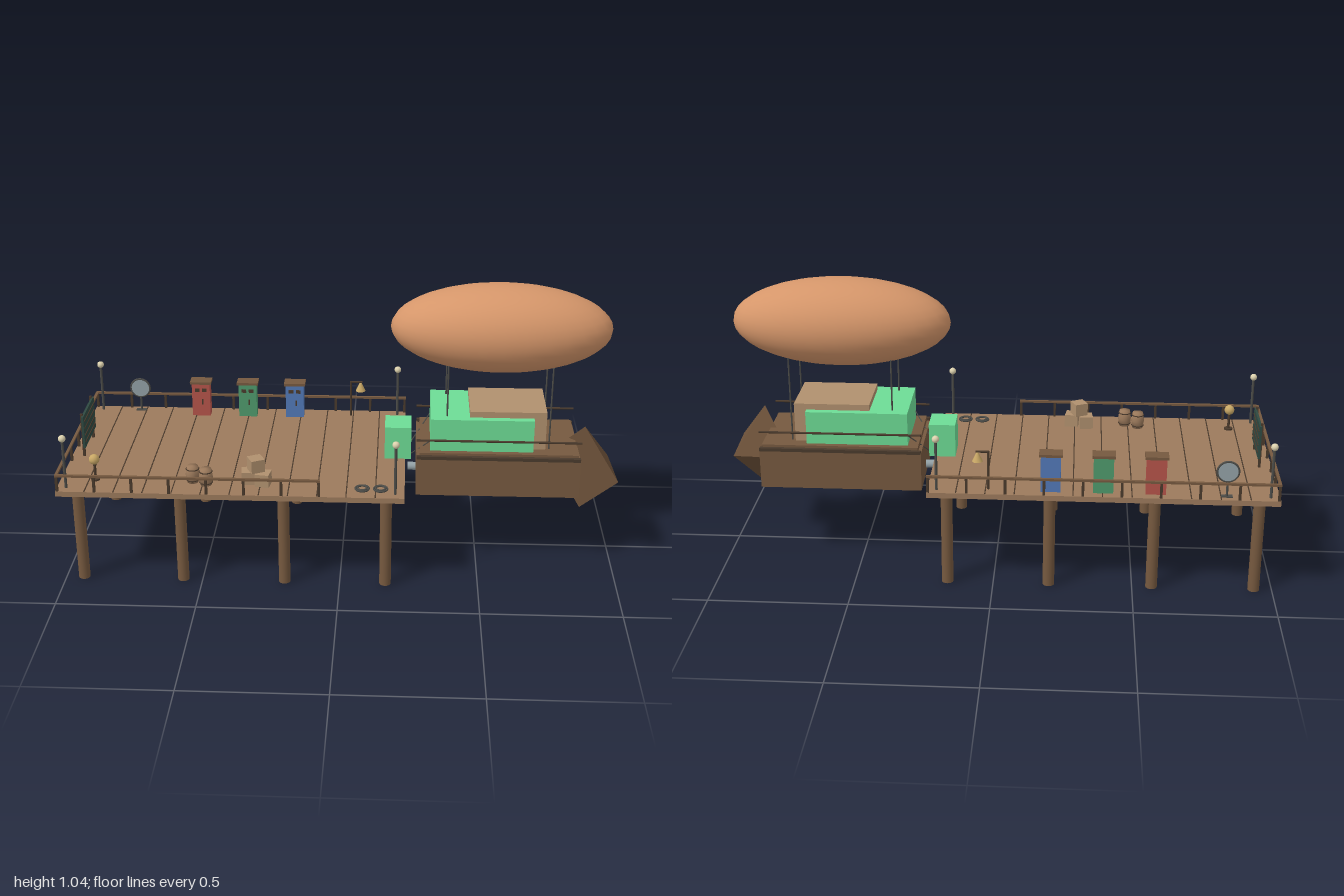
import * as THREE from 'three';

const mat = (color, flat = false) => new THREE.MeshStandardMaterial({ color, flatShading: flat, side: THREE.DoubleSide });
const M = {
  deck: mat(0x9c7a5c), wood: mat(0x76593f), dark: mat(0x4a3a2c), tan: mat(0xb0906e), green: mat(0x6ddc95),
  balloon: mat(0xd5966a), metal: mat(0x4c4c48), glass: mat(0x93a1a6), cream: mat(0xddd2ae), brass: mat(0xc9a866),
  board: mat(0x2f4a42), red: mat(0xb5544a), sage: mat(0x4f9a6c), blue: mat(0x5279b8), fin: mat(0x6b5038, true),
};

export function createModel() {
  const root = new THREE.Group();
  const add = (name, geo, m, x, y, z, parent = root) => {
    const mesh = new THREE.Mesh(geo, m);
    mesh.name = name;
    mesh.position.set(x, y, z);
    parent.add(mesh);
    return mesh;
  };
  const group = (name, x = 0, y = 0, z = 0) => {
    const g = new THREE.Group();
    g.name = name;
    g.position.set(x, y, z);
    root.add(g);
    return g;
  };
  const box = (name, w, h, d, m, x, y, z, p) => add(name, new THREE.BoxGeometry(w, h, d), m, x, y, z, p);
  const cyl = (name, r, h, m, x, y, z, p, r2 = r) => add(name, new THREE.CylinderGeometry(r2, r, h, 16), m, x, y, z, p);
  // round bar between two points
  const bar = (name, a, b, r, m, p) => {
    const A = new THREE.Vector3(...a), B = new THREE.Vector3(...b);
    const mesh = cyl(name, r, A.distanceTo(B), m, 0, 0, 0, p);
    mesh.position.copy(A).add(B).multiplyScalar(0.5);
    mesh.quaternion.setFromUnitVectors(new THREE.Vector3(0, 1, 0), B.sub(A).normalize());
    return mesh;
  };
  const ring = (name, r, t, m, x, y, z, p) => {
    const mesh = add(name, new THREE.TorusGeometry(r, t, 6, 24), m, x, y, z, p);
    mesh.rotation.x = Math.PI / 2;
    return mesh;
  };

  // Platform: slab, plank seams and support posts
  const dock = group('platform');
  box('deck', 1.23, 0.02, 0.74, M.deck, -0.385, 0.37, 0, dock);
  for (let i = 1; i < 12; i++) box('plankSeam', 0.004, 0.002, 0.735, M.dark, -1 + i * 0.1025, 0.3805, 0, dock);
  for (const x of [-0.935, -0.57, -0.2, 0.165])
    for (const z of [-0.307, 0.307]) cyl('supportPost', 0.021, 0.36, M.wood, x, 0.18, z, dock);

  // Railings: two long sides and the far end
  const rails = group('railings');
  const railing = (x0, z0, x1, z1, n) => {
    box('topRail', Math.abs(x1 - x0) + 0.01, 0.008, Math.abs(z1 - z0) + 0.01, M.wood, (x0 + x1) / 2, 0.44, (z0 + z1) / 2, rails);
    for (let i = 0; i <= n; i++) {
      const t = i / n;
      box('railPost', 0.009, 0.06, 0.009, M.dark, x0 + (x1 - x0) * t, 0.408, z0 + (z1 - z0) * t, rails);
    }
  };
  railing(-0.993, 0.365, -0.07, 0.365, 7);
  railing(-0.993, -0.365, 0.225, -0.365, 9);
  railing(-0.993, -0.365, -0.993, 0.365, 6);

  // Corner lamps
  for (const x of [-0.967, 0.197])
    for (const z of [-0.34, 0.337]) {
      const lamp = group('cornerLamp', x, 0.38, z);
      cyl('lampPole', 0.005, 0.18, M.metal, 0, 0.09, 0, lamp);
      add('lampGlobe', new THREE.SphereGeometry(0.013, 16, 12), M.cream, 0, 0.191, 0, lamp);
    }

  // Booths with roof, window slats and door handle
  [[-0.57, M.red], [-0.387, M.sage], [-0.203, M.blue]].forEach(([x, m]) => {
    const booth = group('booth', x, 0.38, -0.318);
    box('boothBody', 0.07, 0.135, 0.042, m, 0, 0.0675, 0, booth);
    box('boothRoof', 0.082, 0.01, 0.052, M.wood, 0, 0.138, 0, booth);
    for (const s of [-1, 1]) box('boothWindow', 0.018, 0.014, 0.003, M.dark, s * 0.014, 0.108, 0.0215, booth);
    box('boothHandle', 0.006, 0.022, 0.004, M.dark, 0.006, 0.06, 0.022, booth);
  });

  // Round mirror on a stand
  const mirror = group('mirror', -0.815, 0.38, -0.34);
  add('mirrorFrame', new THREE.TorusGeometry(0.037, 0.004, 8, 32), M.metal, 0, 0.095, 0, mirror);
  cyl('mirrorDisc', 0.036, 0.006, M.glass, 0, 0.095, 0, mirror).rotation.x = Math.PI / 2;
  cyl('mirrorStem', 0.004, 0.06, M.metal, 0, 0.03, 0, mirror);
  box('mirrorFoot', 0.04, 0.004, 0.018, M.metal, 0, 0.002, 0, mirror);

  // Notice board
  const board = group('noticeBoard', -0.95, 0.38, 0);
  box('boardPanel', 0.008, 0.125, 0.19, M.board, 0, 0.1, 0, board);
  for (const z of [-0.08, 0.08]) box('boardLeg', 0.009, 0.17, 0.009, M.dark, -0.005, 0.085, z, board);
  for (let i = 0; i < 4; i++) box('boardSlat', 0.003, 0.004, 0.17, M.dark, 0.005, 0.06 + i * 0.027, 0, board);

  // Bell on a short stand
  const bell = group('standingBell', -0.875, 0.38, 0.27);
  cyl('bellStand', 0.005, 0.07, M.dark, 0, 0.035, 0, bell);
  cyl('bellFoot', 0.016, 0.006, M.dark, 0, 0.003, 0, bell);
  add('bellBody', new THREE.SphereGeometry(0.019, 12, 8), M.brass, 0, 0.08, 0, bell);

  // Hanging bell on an arm
  const arm = group('hangingBell', 0.015, 0.38, -0.325);
  cyl('armPole', 0.004, 0.145, M.dark, 0, 0.0725, 0, arm);
  bar('armBeam', [0, 0.142, 0], [0.045, 0.142, 0], 0.004, M.dark, arm);
  cyl('hangingBellBody', 0.019, 0.032, M.brass, 0.038, 0.122, 0, arm, 0.004);

  // Barrels
  for (const [x, z] of [[-0.525, 0.27], [-0.475, 0.29]]) {
    const barrel = group('barrel', x, 0.38, z);
    const profile = [[0, 0], [0.02, 0], [0.025, 0.03], [0.02, 0.062], [0, 0.062]].map(p => new THREE.Vector2(...p));
    add('barrelBody', new THREE.LatheGeometry(profile, 20), M.deck, 0, 0, 0, barrel);
    for (const y of [0.01, 0.052]) ring('barrelHoop', 0.0225, 0.002, M.dark, 0, y, 0, barrel);
  }

  // Crates
  for (const [x, y, z, turn] of [[-0.325, 0.404, 0.265, 0.1], [-0.272, 0.404, 0.282, -0.15], [-0.298, 0.454, 0.27, 0.45]])
    box('crate', 0.05, 0.048, 0.05, M.tan, x, y, z).rotation.y = turn;

  // Rope coils
  for (const x of [0.08, 0.145])
    for (const [r, y] of [[0.024, 0.384], [0.017, 0.386]]) ring('ropeCoil', r, 0.0035, M.metal, x, y, 0.305);

  // Airship hull and cabins
  const ship = group('airship');
  box('hull', 0.59, 0.145, 0.33, M.wood, 0.565, 0.3625, 0, ship);
  box('hullDeck', 0.57, 0.02, 0.31, M.wood, 0.567, 0.445, 0, ship);
  for (const s of [-1, 1]) {
    box('gunwale', 0.588, 0.012, 0.014, M.dark, 0.565, 0.44, s * 0.162, ship);
    bar('sideRail', [0.27, 0.503, s * 0.152], [0.86, 0.503, s * 0.152], 0.004, M.dark, ship);
    bar('mooringLine', [0.25, 0.4, s * 0.05], [0.33, 0.5, s * 0.13], 0.002, M.metal, ship);
    for (const x of [0.378, 0.748]) bar('suspensionCable', [x, 0.45, s * 0.1], [x, 0.77, s * 0.1], 0.003, M.metal, ship);
  }
  box('mainCabin', 0.37, 0.125, 0.27, M.green, 0.505, 0.515, 0, ship);
  box('rearCabin', 0.275, 0.15, 0.22, M.tan, 0.5975, 0.525, 0, ship);
  box('bowCabin', 0.097, 0.125, 0.11, M.green, 0.203, 0.443, 0, ship);
  bar('bowFitting', [0.24, 0.325, 0], [0.28, 0.325, 0], 0.015, M.glass, ship);

  // Gas envelope
  add('envelope', new THREE.SphereGeometry(1, 32, 20), M.balloon, 0.565, 0.883, 0, ship).scale.set(0.395, 0.158, 0.182);

  // Tail fin: four-sided cone laid over and pointing back at an angle
  const fin = add('tailFin', new THREE.ConeGeometry(0.165, 0.15, 4).translate(0, 0.075, 0), M.fin, 0.88, 0.36, 0.055, ship);
  fin.rotation.set(0, Math.PI / 4, -Math.PI / 2);
  fin.rotation.order = 'YXZ';

  return root;
}
